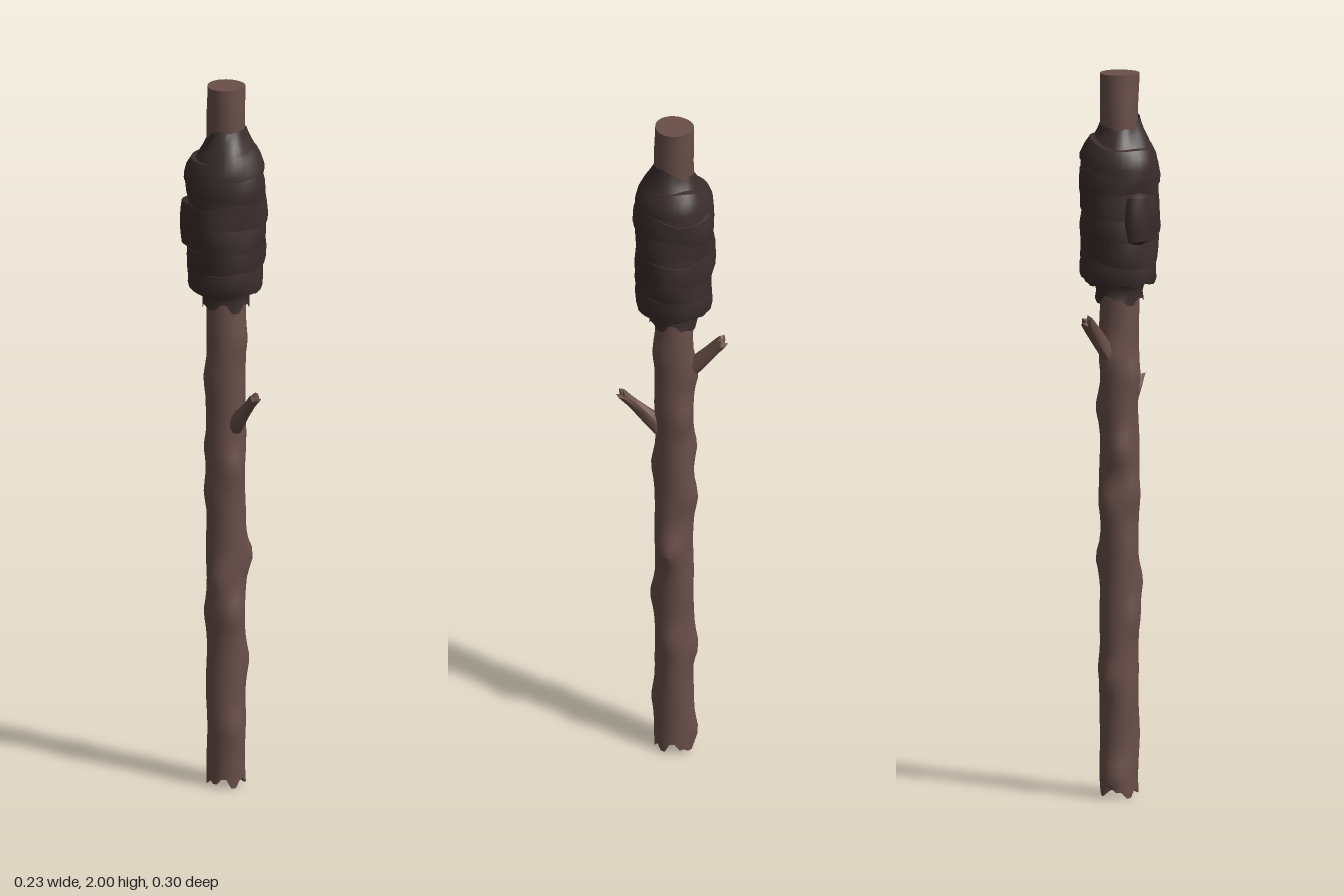
import * as THREE from 'three';
import { toCreasedNormals } from 'three/addons/utils/BufferGeometryUtils.js';

const wood = new THREE.MeshStandardMaterial({ color: 0x6a4f49, side: THREE.DoubleSide });
const cloth = new THREE.MeshStandardMaterial({ color: 0x3b2e2d, side: THREE.DoubleSide });

// Closed tube surface: point(angle, row) gives [x, y, z]; angle 0 faces +z, rows run upward.
function loft(name, material, sides, rows, point, crease = 0.7) {
  const pos = [], index = [];
  for (let j = 0; j < rows; j++) {
    for (let i = 0; i < sides; i++) {
      pos.push(...point((i / sides) * Math.PI * 2, j, i));
      if (j === rows - 1) continue;
      const a = j * sides + i, b = j * sides + (i + 1) % sides;
      index.push(a, b, b + sides, a, b + sides, a + sides);
    }
  }
  const geo = new THREE.BufferGeometry();
  geo.setAttribute('position', new THREE.Float32BufferAttribute(pos, 3));
  geo.setIndex(index);
  const mesh = new THREE.Mesh(toCreasedNormals(geo, crease), material);
  mesh.name = name;
  return mesh;
}

// Linear lookup in [y, radius] pairs.
function lookup(table, y) {
  for (let k = 1; k < table.length; k++) {
    const [y0, r0] = table[k - 1], [y1, r1] = table[k];
    if (y <= y1) return r0 + (r1 - r0) * Math.max(0, (y - y0) / (y1 - y0));
  }
  return table[table.length - 1][1];
}

const JAG = [0, 0.7, 0.2, 1, 0.4, 0.1, 0.9, 0.5, 0, 0.6, 0.3, 0.8];
const jag = (i) => JAG[i % JAG.length];
const angleGap = (a, b) => Math.abs(Math.atan2(Math.sin(a - b), Math.cos(a - b)));

// Knots on the bark: [angle, height, size]
const KNOTS = [
  [1.5, 0.66, 0.022], [1.7, 0.36, 0.012], [-1.5, 0.84, 0.012], [-1.6, 1.17, 0.012],
  [3.0, 0.82, 0.014], [3.2, 0.33, 0.014], [0.1, 0.92, 0.011], [0.1, 0.5, 0.012],
  [3.1, 1.22, 0.014], [0.2, 0.17, 0.011], [3.3, 0.06, 0.012], [-0.8, 0.6, 0.01],
  [-1.5, 0.5, 0.01], [2.3, 1.08, 0.012], [-2.4, 0.96, 0.015], [0.8, 1.28, 0.012],
];

function shaft() {
  const sides = 24, rows = 72;
  return loft('shaft', wood, sides, rows + 3, (a, j, i) => {
    // The first row closes the recessed foot, the last one closes the flat top.
    if (j === 0) return [0, 0.04, 0];
    if (j === rows + 2) return [0, 2, 0];
    const t = (j - 1) / rows;
    let y = Math.min(2, 0.015 + t * 1.985), r = 0.053;
    r += 0.0012 * Math.sin(y * 17 + a * 2) + 0.0012 * Math.sin(y * 31 - a * 3);
    for (const [ka, ky, s] of KNOTS) {
      const d = (angleGap(a, ka) / 0.6) ** 2 + ((y - ky) / 0.045) ** 2;
      r += s * Math.exp(-d);
    }
    if (j === 1) y = 0.005 + 0.032 * jag(i >> 1);
    return [r * Math.sin(a), y, r * Math.cos(a)];
  });
}

// Broken side branch with a splintered, slightly hollow tip
function twig(name, from, to, radius) {
  const start = new THREE.Vector3(...from), dir = new THREE.Vector3(...to).sub(start);
  const length = dir.length();
  const mesh = loft(name, wood, 10, 6, (a, j, i) => {
    if (j === 5) return [0, length - 0.012, 0];
    const t = j / 4;
    const r = radius * (1.2 - 0.4 * Math.sin(t * Math.PI * 0.55) + 0.12 * Math.sin(a * 2 + t * 4));
    const y = length * t - (j === 4 ? 0.018 * jag(i) : 0);
    return [r * Math.sin(a), y, r * Math.cos(a)];
  });
  mesh.position.copy(start);
  mesh.quaternion.setFromUnitVectors(new THREE.Vector3(0, 1, 0), dir.normalize());
  return mesh;
}

const WRAP = [
  [1.40, 0.084], [1.43, 0.096], [1.50, 0.1], [1.58, 0.106], [1.66, 0.103], [1.73, 0.107],
  [1.78, 0.1], [1.82, 0.083], [1.86, 0.06], [1.89, 0.05],
];

function wrapRadius(a, y) {
  const fold = 0.0025 * Math.sin(a * 3 + y * 22) + 0.002 * Math.sin(a * 5 - y * 37);
  return lookup(WRAP, y) + fold;
}

// Main bundle of cloth, its upper edge sloping down toward the back
function bundle() {
  const rows = 28;
  return loft('clothBundle', cloth, 36, rows + 1, (a, j, i) => {
    const t = j / rows, y = 1.42 + t * 0.465;
    const r = wrapRadius(a, y);
    const slope = t * t * (0.018 * Math.cos(a) + 0.008 * Math.sin(a));
    const tear = j === 0 ? 0.01 * jag(i >> 1) : 0;
    return [r * Math.sin(a), y + slope - 0.012 * t + tear, r * Math.cos(a)];
  }, 0.9);
}

// Strip wound round the bundle: lower lip stands proud, upper edge tucks in
function band(y, height, lift, tilt, heading) {
  const edge = [[0, -0.012], [0, 0.7], [0.25, 1], [0.65, 0.8], [0.95, 0.3], [1, -0.012]];
  return loft('clothBand', cloth, 36, edge.length, (a, j, i) => {
    const [t, out] = edge[j];
    const yy = y + height * t + tilt * Math.cos(a - heading) + 0.004 * Math.sin(a * 3 + y * 40);
    const thick = out < 0 ? out : out * lift * (0.75 + 0.25 * Math.sin(a * 2 + y * 50));
    const r = wrapRadius(a, yy) + thick;
    return [r * Math.sin(a), yy + (j < 2 ? 0.004 * jag(i >> 2) : 0), r * Math.cos(a)];
  });
}

// Bulging fold of cloth on the right-hand side
function sideFold() {
  const rows = 8;
  return loft('sideFold', cloth, 16, rows + 1, (a, j) => {
    const t = j / rows;
    const s = j === 0 || j === rows ? 0 : 0.75 + 0.25 * Math.sin(t * Math.PI);
    return [-0.088 + 0.032 * s * Math.sin(a), 1.53 + 0.16 * t, -0.03 + 0.045 * s * Math.cos(a)];
  });
}

// Frayed collar hanging below the bundle
function collar() {
  return loft('frayedCollar', cloth, 24, 5, (a, j, i) => {
    const r = [0.066, 0.064, 0.07, 0.085, 0.09][j] + 0.002 * Math.sin(a * 4 + j);
    const y = [1.365, 1.4, 1.42, 1.435, 1.45][j] + (j === 0 ? 0.03 * jag(i >> 1) : 0);
    return [r * Math.sin(a), y, r * Math.cos(a)];
  });
}

export function createModel() {
  const torch = new THREE.Group();
  torch.name = 'torch';
  torch.add(
    shaft(),
    twig('frontTwig', [0.012, 1.035, 0.035], [0.046, 1.15, 0.142], 0.02),
    twig('backTwig', [0, 1.215, -0.035], [0.004, 1.337, -0.142], 0.021),
  );

  const head = new THREE.Group();
  head.name = 'clothHead';
  head.add(bundle(), sideFold(), collar());
  // y, height, lift, tilt, heading of the tilt
  const bands = [
    [1.425, 0.07, 0.009, 0.006, 2.5], [1.48, 0.075, 0.007, 0.014, 0.8],
    [1.545, 0.08, 0.006, 0.012, -1.2], [1.61, 0.08, 0.007, 0.014, 1.9],
    [1.68, 0.08, 0.006, 0.016, -0.6], [1.745, 0.07, 0.007, 0.018, 1.4],
  ];
  for (const b of bands) head.add(band(...b));
  torch.add(head);
  return torch;
}
